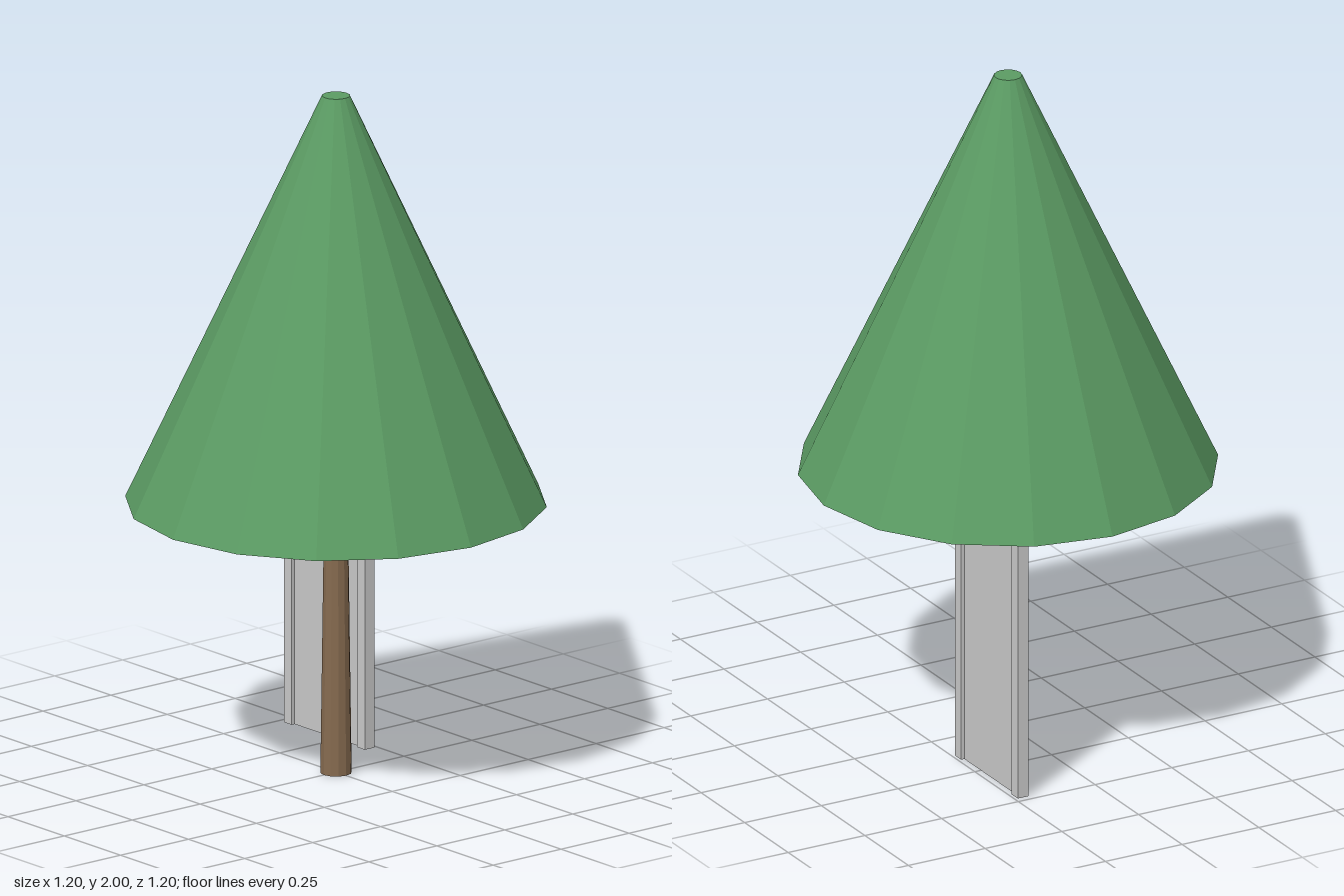
import * as THREE from 'three';

export function createModel() {
  const model = new THREE.Group();
  const material = (name, color) => {
    const m = new THREE.MeshStandardMaterial({ color, flatShading: true });
    m.name = name;
    return m;
  };
  const leafGreen = material('leafGreen', 0x5b9b63);
  const barkBrown = material('barkBrown', 0x856a4f);
  const panelGrey = material('panelGrey', 0xc8c8c8);

  const add = (parent, name, geometry, mat, x, y, z) => {
    const mesh = new THREE.Mesh(geometry, mat);
    mesh.name = name;
    mesh.position.set(x, y, z);
    parent.add(mesh);
  };

  // Tree: tapered trunk below a truncated cone of foliage
  const trunkHeight = 0.8, foliageHeight = 1.2;
  add(model, 'trunk', new THREE.CylinderGeometry(0.034, 0.045, trunkHeight, 12), barkBrown,
    0, trunkHeight / 2, 0);
  add(model, 'foliage', new THREE.CylinderGeometry(0.04, 0.6, foliageHeight, 16), leafGreen,
    0, trunkHeight + foliageHeight / 2, 0);

  // Upright screen: thin sheet between two square posts
  const screen = new THREE.Group();
  screen.name = 'screen';
  screen.position.set(-0.3, 0.4, -0.223);
  const width = 0.36, height = 0.8, post = 0.035;
  add(screen, 'screenPanel', new THREE.BoxGeometry(width - 2 * post, height, 0.014), panelGrey, 0, 0, 0);
  for (const side of [-1, 1]) {
    add(screen, side < 0 ? 'rightPost' : 'leftPost', new THREE.BoxGeometry(post, height, post), panelGrey,
      side * (width - post) / 2, 0, 0);
  }
  model.add(screen);
  return model;
}
